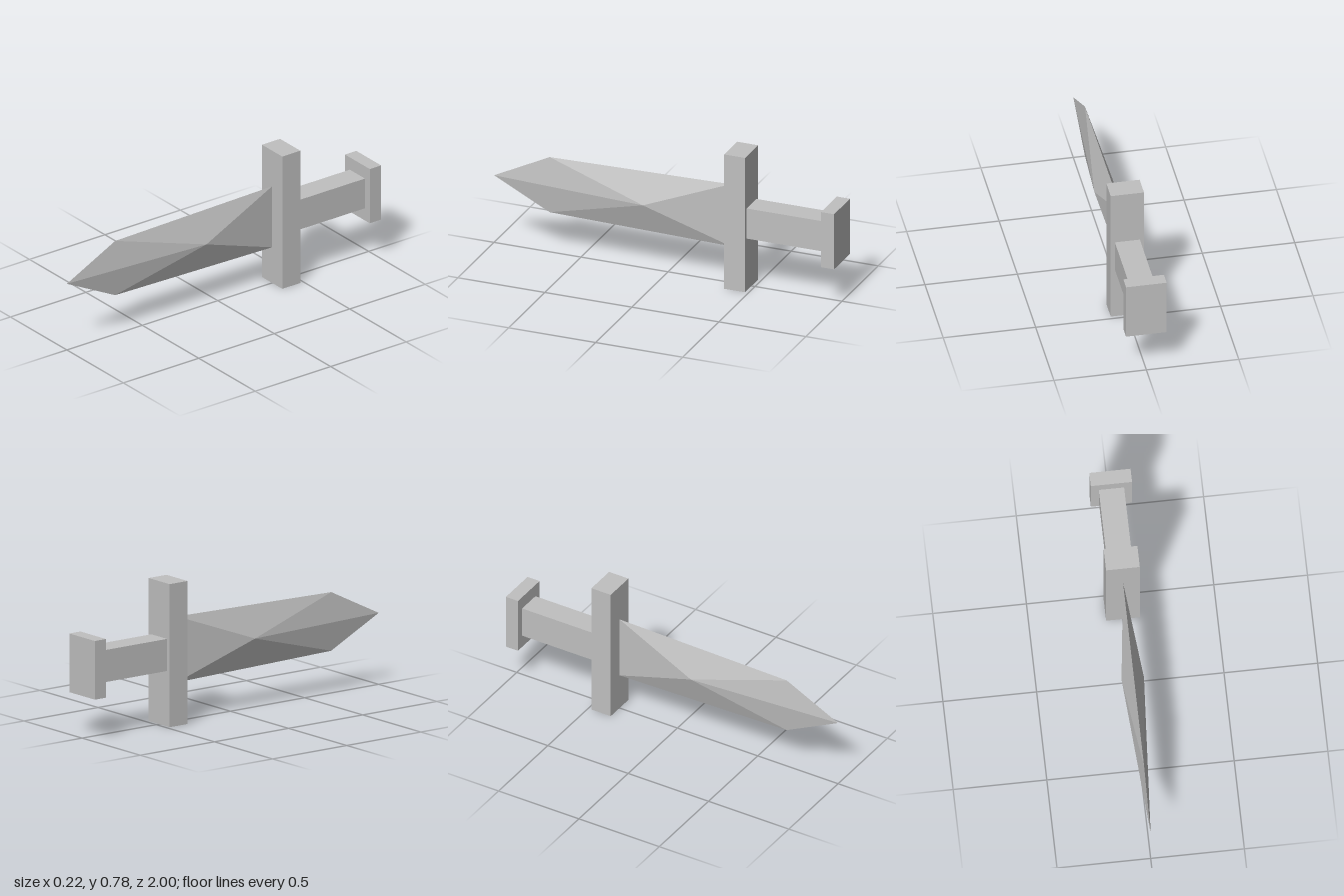
import * as THREE from 'three';

export function createModel() {
  const group = new THREE.Group();
  const steel = new THREE.MeshStandardMaterial({ color: 0xc0c0c0 });
  steel.name = 'steelGrey';

  const add = (name, geometry) => {
    const mesh = new THREE.Mesh(geometry, steel);
    mesh.name = name;
    group.add(mesh);
    return mesh;
  };
  const midY = 0.39;
  const box = (name, width, height, zBack, zFront) =>
    add(name, new THREE.BoxGeometry(width, height, zFront - zBack))
      .position.set(0, midY, (zBack + zFront) / 2);

  // Handle: pommel, grip and tall crossguard
  box('pommel', 0.22, 0.32, -1, -0.925);
  box('grip', 0.135, 0.175, -0.925, -0.48);
  box('crossguard', 0.18, 0.78, -0.48, -0.36);

  // Blade: sharp outline in the middle plane, each side fanned to a raised peak
  const outline = [[-0.36, 0.18], [0.68, 0.16], [1, 0], [0.68, -0.16], [-0.36, -0.18]]
    .map(([z, y]) => [0, midY + y, z]);
  const positions = [];
  for (const side of [1, -1]) {
    const peak = [side * 0.06, midY, 0.12];
    outline.forEach((a, i) => {
      const b = outline[(i + 1) % outline.length];
      positions.push(...peak, ...(side > 0 ? [...a, ...b] : [...b, ...a]));
    });
  }
  const blade = new THREE.BufferGeometry();
  blade.setAttribute('position', new THREE.Float32BufferAttribute(positions, 3));
  blade.computeVertexNormals(); // unshared corners give flat facets
  add('blade', blade);

  return group;
}
